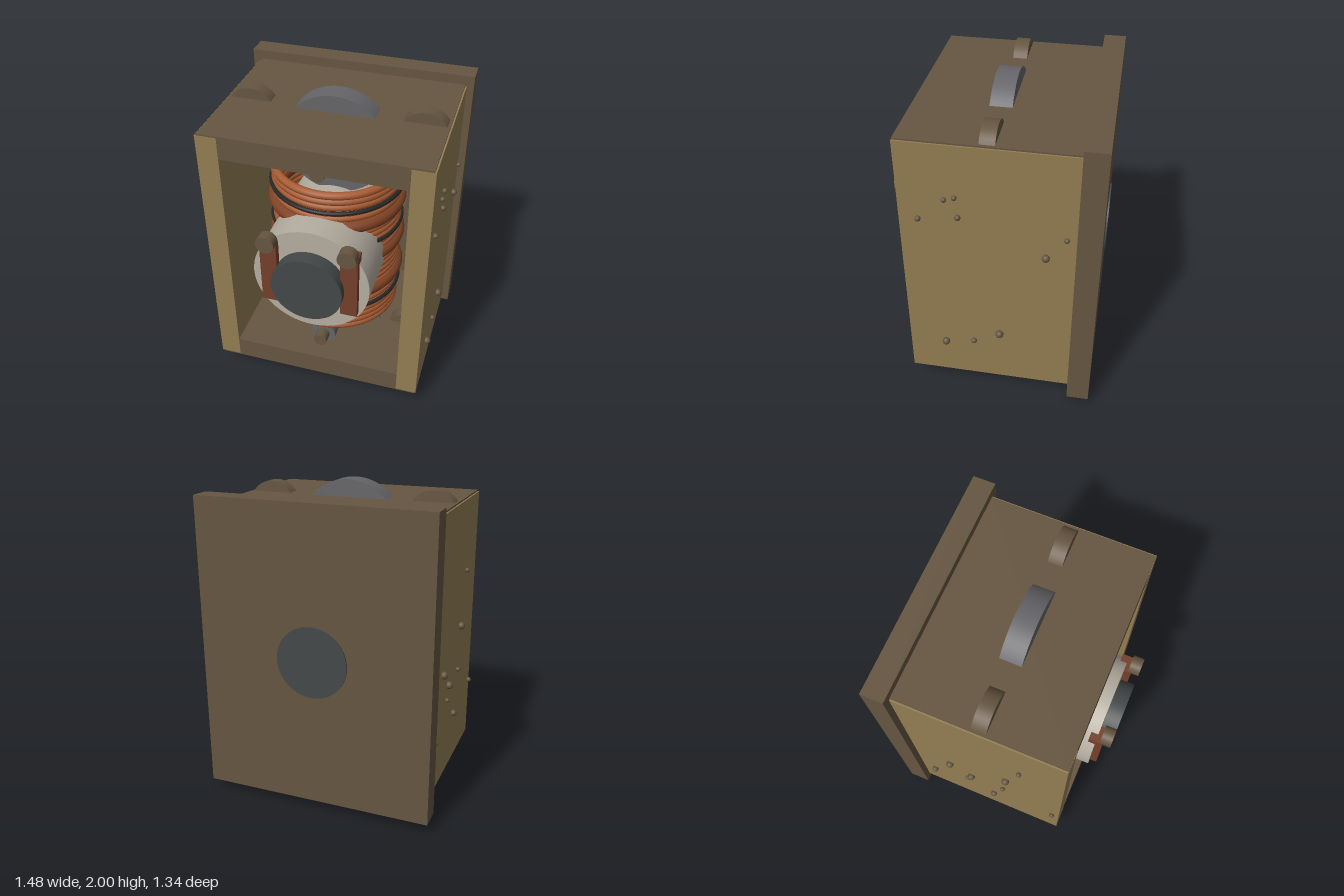
import * as THREE from 'three';

const mat = (color) => new THREE.MeshStandardMaterial({ color });

export function createModel() {
  const model = new THREE.Group();
  const brown = mat(0x665641), tan = mat(0x937d53), copper = mat(0xa85c33), darkCopper = mat(0x824325);
  const black = mat(0x262626), grey = mat(0x66666a), dark = mat(0x444848), cream = mat(0xb5aea1), rust = mat(0x74402a);

  const add = (name, geometry, material, x, y, z) => {
    const mesh = new THREE.Mesh(geometry, material);
    mesh.name = name;
    mesh.position.set(x, y, z);
    model.add(mesh);
    return mesh;
  };
  // Box given by its limits on each axis
  const box = (name, material, x0, x1, y0, y1, z0, z1) =>
    add(name, new THREE.BoxGeometry(x1 - x0, y1 - y0, z1 - z0), material, (x0 + x1) / 2, (y0 + y1) / 2, (z0 + z1) / 2);
  // Cylinder lying along z
  const rod = (name, material, r, x, y, z0, z1, sides = 48) =>
    add(name, new THREE.CylinderGeometry(r, r, z1 - z0, sides).rotateX(Math.PI / 2), material, x, y, (z0 + z1) / 2);
  // Horizontal ring around the vertical coil axis
  const ring = (name, material, y, radius, tube) =>
    add(name, new THREE.TorusGeometry(radius, tube, 10, 56).rotateX(Math.PI / 2), material, 0, y, 0);

  // Open-fronted case
  box('backPlate', brown, -0.74, 0.74, 0.06, 1.95, -0.66, -0.52);
  box('topPanel', brown, -0.685, 0.685, 1.74, 1.89, -0.52, 0.515);
  box('bottomPanel', brown, -0.685, 0.685, 0.12, 0.27, -0.52, 0.515);
  box('leftWall', tan, 0.56, 0.695, 0.13, 1.88, -0.52, 0.517);
  box('rightWall', tan, -0.695, -0.56, 0.13, 1.88, -0.52, 0.517);

  // Wheels with axles, and corner rollers, poking through top and bottom
  for (const y of [0.33, 1.67]) {
    rod('wheel', grey, 0.33, 0, y, -0.07, 0.065, 64);
    rod('wheelHub', grey, 0.085, 0, y, -0.345, 0.345, 24);
    rod('wheelAxle', brown, 0.045, 0, y, -0.42, 0.42, 20);
    for (const x of [-0.54, 0.54]) rod('cornerRoller', brown, 0.155, x, y < 1 ? 0.2 : 1.805, -0.05, 0.04, 40);
  }

  // Hollow wire coil with thick turns and dark bands
  const turns = 27;
  for (let i = 0; i < turns; i++) ring('coilTurn', copper, 0.475 + (1.05 * i) / (turns - 1), 0.393, 0.026);
  for (const y of [0.76, 1.03, 1.3]) ring('thickTurn', darkCopper, y, 0.4, 0.045);
  for (const y of [0.64, 1.15, 1.415]) ring('darkBand', black, y, 0.42, 0.014);

  // Horizontal drum with its shaft through the case
  rod('drum', cream, 0.37, 0, 1.003, -0.5, 0.575, 64);
  rod('shaft', dark, 0.225, 0, 1.003, -0.67, 0.67, 64);

  // Contact brackets with hooked tops and knobs
  for (const s of [-1, 1]) {
    box('contactBar', rust, s * 0.252 - 0.053, s * 0.252 + 0.053, 0.825, 1.27, 0.57, 0.62);
    box('contactHook', rust, s * 0.252 - 0.053, s * 0.252 + 0.053, 1.21, 1.27, 0.53, 0.6);
    rod('contactKnob', brown, 0.058, s * 0.25, 1.297, 0.6, 0.67, 24);
  }

  // Round rivets on each wall: z, y, radius
  const rivets = {
    1: [[0.24, 1.53, 0.016], [0.18, 1.55, 0.016], [0.165, 1.415, 0.018], [0.4, 1.38, 0.018], [-0.46, 1.335, 0.016],
      [-0.345, 1.19, 0.024], [-0.07, 0.525, 0.026], [0.095, 0.437, 0.018], [0.28, 0.4, 0.025]],
    '-1': [[0.235, 1.415, 0.016], [0.14, 1.065, 0.025], [-0.265, 0.875, 0.025], [-0.12, 0.75, 0.025], [0.11, 0.77, 0.016],
      [-0.155, 0.66, 0.015], [0.035, 0.485, 0.022], [0.47, 0.55, 0.017], [-0.42, 0.49, 0.022]],
  };
  for (const side in rivets)
    for (const [z, y, r] of rivets[side]) add('rivet', new THREE.SphereGeometry(r, 14, 10), brown, side * 0.706, y, z);

  return model;
}
